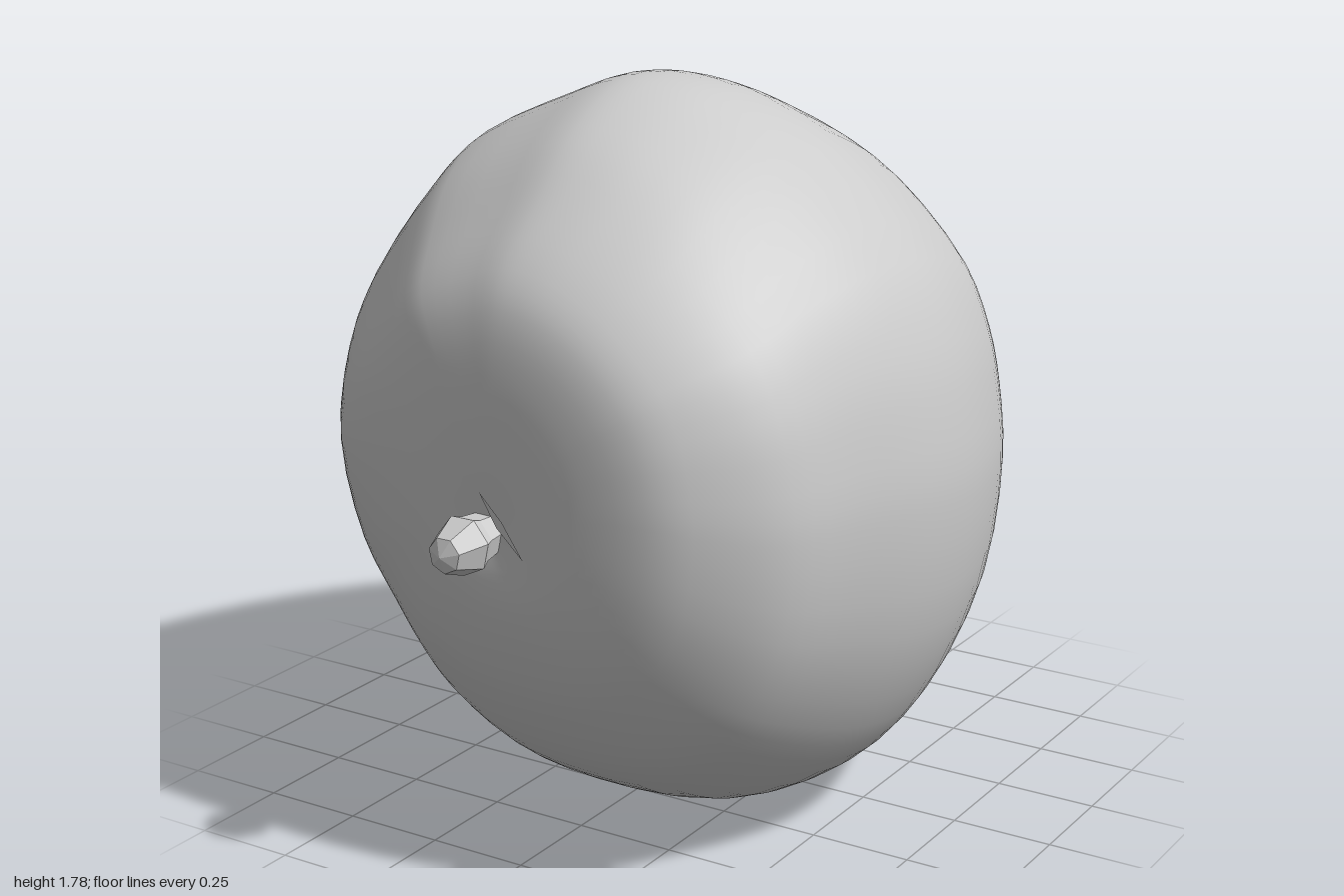
import * as THREE from 'three';
import { mergeVertices } from 'three/addons/utils/BufferGeometryUtils.js';

// Lumpy outline of the widest cross-section, counter-clockwise (x, y)
const OUTLINE = [
  [0.8, 0.86], [0.78, 1.06], [0.74, 1.22], [0.65, 1.4], [0.41, 1.63], [0.2, 1.74], [0.05, 1.775],
  [-0.06, 1.772], [-0.2, 1.72], [-0.42, 1.62], [-0.5, 1.55], [-0.68, 1.32], [-0.76, 1.15],
  [-0.8, 0.9], [-0.72, 0.58], [-0.6, 0.39], [-0.5, 0.25], [-0.4, 0.15], [-0.2, 0.04],
  [0.02, 0.005], [0.3, 0.03], [0.52, 0.15], [0.65, 0.3], [0.76, 0.55],
];

// Sections from back to front: z, xMin, xMax, yMin, yMax, slant of z along x
const SECTIONS = [
  [-1.0, 0.155, 0.155, 0.8, 0.8, 0],
  [-0.985, 0.06, 0.245, 0.68, 0.95, 0],
  [-0.95, -0.07, 0.3, 0.54, 1.09, 0],
  [-0.85, -0.3, 0.375, 0.385, 1.28, 0],
  [-0.7, -0.475, 0.485, 0.22, 1.42, 0],
  [-0.5, -0.61, 0.61, 0.1, 1.56, 0],
  [-0.25, -0.73, 0.72, 0.035, 1.67, 0],
  [0.05, -0.8, 0.797, 0.005, 1.765, 0],
  [0.28, -0.77, 0.795, 0.042, 1.772, 0],
  [0.5, -0.68, 0.735, 0.14, 1.69, 0],
  [0.67, -0.57, 0.66, 0.27, 1.56, 0.03],
  [0.79, -0.45, 0.52, 0.44, 1.44, 0.06],
  [0.84, -0.34, 0.42, 0.56, 1.35, 0.07],
  [0.867, -0.2, 0.27, 0.68, 1.2, 0.08],
  [0.868, -0.1, 0.13, 0.76, 0.98, 0.08],
  [0.855, 0, 0, 0.84, 0.84, 0],
];

// Smooth skin: curves run from the back tip to the front dimple
function bodyGeometry(columns = 72, rows = 64) {
  const outline = new THREE.CatmullRomCurve3(
    OUTLINE.map(([x, y]) => new THREE.Vector3(x / 0.8, (y - 0.89) / 0.885, 0)), true);
  const grid = [];
  for (let c = 0; c < columns; c++) {
    const p = outline.getPoint(c / columns);
    const ribs = SECTIONS.map(([z, x0, x1, y0, y1, slant]) => {
      const x = (x0 + x1) / 2 + p.x * (x1 - x0) / 2;
      const y = (y0 + y1) / 2 + p.y * (y1 - y0) / 2;
      return new THREE.Vector3(x, y, z + slant * x);
    });
    grid.push(new THREE.CatmullRomCurve3(ribs).getPoints(rows));
  }
  const positions = [], index = [];
  for (const column of grid) for (const v of column) positions.push(v.x, v.y, v.z);
  const id = (c, r) => (c % columns) * (rows + 1) + r;
  for (let c = 0; c < columns; c++) {
    for (let r = 0; r < rows; r++) {
      const a = id(c, r), b = id(c + 1, r), d = id(c, r + 1), e = id(c + 1, r + 1);
      if (r > 0) index.push(a, b, d);
      if (r < rows - 1) index.push(b, e, d);
    }
  }
  const geometry = new THREE.BufferGeometry();
  geometry.setAttribute('position', new THREE.Float32BufferAttribute(positions, 3));
  geometry.setIndex(index);
  const merged = mergeVertices(geometry, 1e-5);
  merged.computeVertexNormals();
  return merged;
}

// Faceted stub with a slightly crooked tip
function stemGeometry() {
  const profile = [[0.05, 0], [0.058, 0.05], [0.07, 0.075], [0.042, 0.135], [0, 0.15]]
    .map(([r, h]) => new THREE.Vector2(r, h));
  const geometry = new THREE.LatheGeometry(profile, 7).rotateX(Math.PI / 2).toNonIndexed();
  const pos = geometry.attributes.position;
  for (let i = 0; i < pos.count; i++) {
    const z = pos.getZ(i);
    pos.setX(i, pos.getX(i) - z * 0.12);
    pos.setY(i, pos.getY(i) + 0.012 - z * 0.12);
  }
  geometry.computeVertexNormals();
  return geometry;
}

export function createModel() {
  const model = new THREE.Group();
  model.name = 'fruit';
  const grey = new THREE.MeshStandardMaterial({ color: 0xcccccc });
  grey.name = 'plain grey';
  grey.side = THREE.DoubleSide;

  const add = (name, geometry) => {
    const mesh = new THREE.Mesh(geometry, grey);
    mesh.name = name;
    model.add(mesh);
    return mesh;
  };

  add('body', bodyGeometry());
  add('stem', stemGeometry()).position.set(0, 0.84, 0.85);

  // Thin sliver of husk beside the stem
  const sliver = new THREE.Shape([[0.01, 0.96], [0.055, 0.885], [0.125, 0.82], [0.07, 0.9]]
    .map(([x, y]) => new THREE.Vector2(x, y)));
  add('huskSliver', new THREE.ShapeGeometry(sliver)).position.z = 0.89;

  return model;
}
